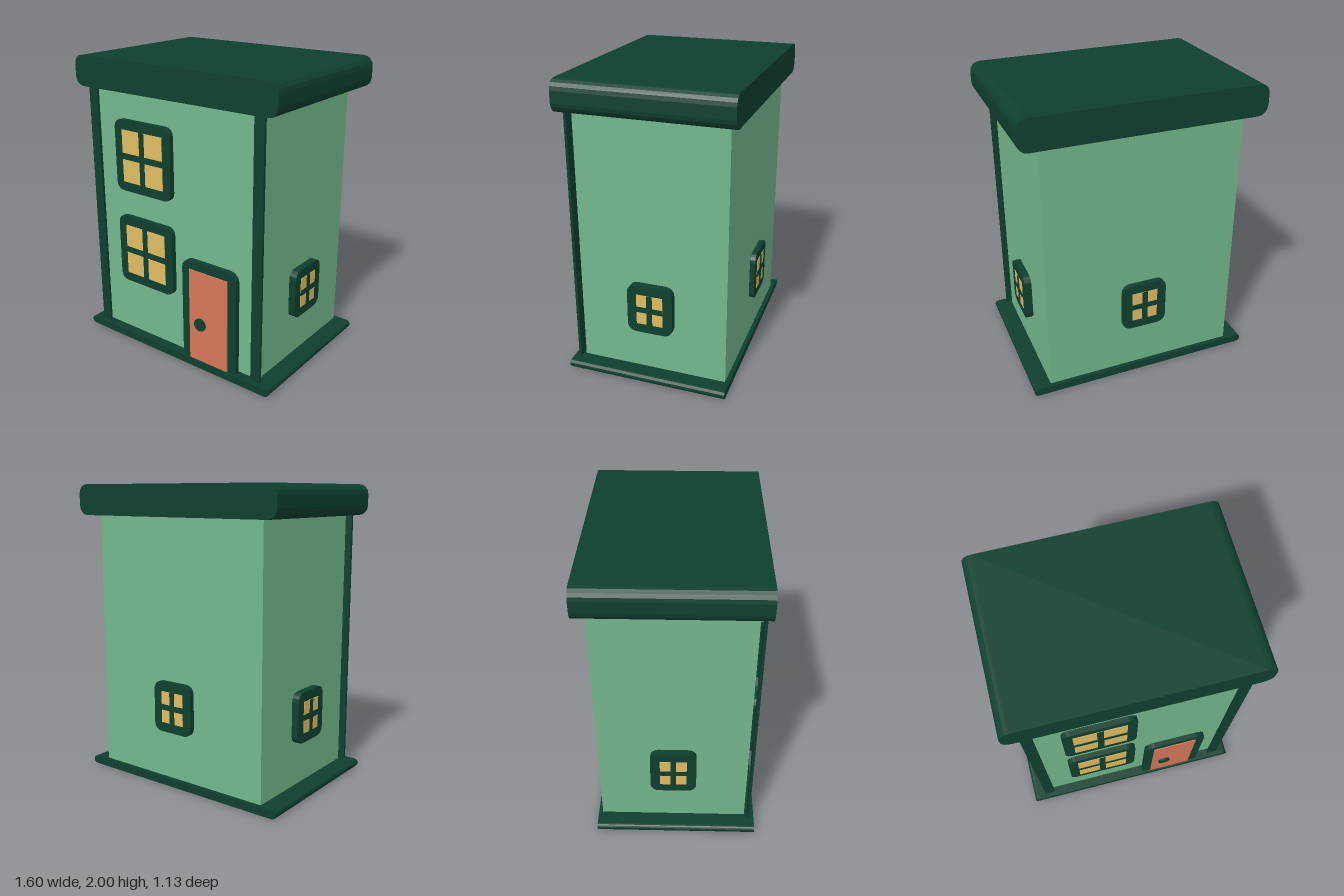
import * as THREE from 'three';

const material = (name, color) => {
  const m = new THREE.MeshStandardMaterial({ color });
  m.name = name;
  return m;
};

export function createModel() {
  const trim = material('dark green trim', 0x0f402f);
  const wall = material('light green wall', 0x74b78d);
  const glass = material('yellow glass', 0xe0bd63);
  const paint = material('terracotta door', 0xd5785b);

  const house = new THREE.Group();
  house.name = 'house';

  function add(parent, name, geometry, mat, x = 0, y = 0, z = 0) {
    const mesh = new THREE.Mesh(geometry, mat);
    mesh.name = name;
    mesh.position.set(x, y, z);
    parent.add(mesh);
    return mesh;
  }

  // Box given by its lower and upper limits
  function addBox(parent, name, mat, [x0, y0, z0], [x1, y1, z1]) {
    const geometry = new THREE.BoxGeometry(x1 - x0, y1 - y0, z1 - z0);
    return add(parent, name, geometry, mat, (x0 + x1) / 2, (y0 + y1) / 2, (z0 + z1) / 2);
  }

  // Slab with rounded corners, pushed out along z; bottom corners may be square
  function slab(x0, y0, x1, y1, r, depth, squareBottom = false) {
    const b = squareBottom ? 0 : r;
    const s = new THREE.Shape();
    s.moveTo(x0 + b, y0);
    s.lineTo(x1 - b, y0);
    if (b) s.absarc(x1 - b, y0 + b, b, -Math.PI / 2, 0);
    s.lineTo(x1, y1 - r);
    s.absarc(x1 - r, y1 - r, r, 0, Math.PI / 2);
    s.lineTo(x0 + r, y1);
    s.absarc(x0 + r, y1 - r, r, Math.PI / 2, Math.PI);
    s.lineTo(x0, y0 + b);
    if (b) s.absarc(x0 + b, y0 + b, b, Math.PI, Math.PI * 1.5);
    return new THREE.ExtrudeGeometry(s, { depth, bevelEnabled: false, curveSegments: 2 });
  }

  // Window facing +z with its back at z = 0: frame, glass plate and crossed bars
  function addWindow(name, width, height, depth, border, bar, position, turn = 0) {
    const group = new THREE.Group();
    group.name = name;
    const w = width / 2, h = height / 2, gw = w - border, gh = h - border, b = bar / 2;
    add(group, name + 'Frame', slab(-w, -h, w, h, 0.055, depth), trim);
    addBox(group, name + 'Glass', glass, [-gw, -gh, depth - 0.004], [gw, gh, depth + 0.003]);
    addBox(group, name + 'UprightBar', trim, [-b, -gh, depth - 0.003], [b, gh, depth + 0.006]);
    addBox(group, name + 'CrossBar', trim, [-gw, -b, depth - 0.003], [gw, b, depth + 0.006]);
    group.position.set(...position);
    group.rotation.y = turn;
    house.add(group);
  }

  // Walls, base and roof
  addBox(house, 'walls', wall, [-0.669, 0, -0.502], [0.663, 1.85, 0.494]);
  add(house, 'base', slab(-0.792, 0.002, 0.783, 0.055, 0.024, 1.09), trim, -0.001, 0, -0.53);
  add(house, 'roof', slab(-0.8, 1.795, 0.8, 2, 0.065, 1.12), trim, 0, 0, -0.565);

  // Corner strips on the front
  for (const side of [-1, 1]) {
    const x = side * 0.667 - 0.003;
    addBox(house, side > 0 ? 'leftCornerStrip' : 'rightCornerStrip', trim,
      [x - 0.036, 0.04, 0.513], [x + 0.036, 1.82, 0.53]);
  }

  // Windows: two large ones on the front, one small one on each other wall
  const large = [0.474, 0.486, 0.035, 0.065, 0.042];
  addWindow('upperWindow', ...large, [-0.235, 1.372, 0.509]);
  addWindow('lowerWindow', ...large, [-0.235, 0.703, 0.509]);
  const small = [0.306, 0.34, 0.035, 0.064, 0.038];
  const sideWindow = [0.306, 0.34, 0.05, 0.064, 0.038];
  addWindow('leftWindow', ...sideWindow, [0.662, 0.52, -0.002], Math.PI / 2);
  addWindow('rightWindow', ...sideWindow, [-0.668, 0.52, -0.002], -Math.PI / 2);
  addWindow('backWindow', ...small, [0, 0.56, -0.517], Math.PI);

  // Door with its surround and round knob
  add(house, 'doorFrame', slab(0.085, 0.04, 0.521, 0.773, 0.065, 0.035, true), trim, 0, 0, 0.509);
  addBox(house, 'door', paint, [0.147, 0.045, 0.543], [0.455, 0.711, 0.551]);
  const knob = new THREE.CylinderGeometry(0.044, 0.044, 0.022, 24).rotateX(Math.PI / 2);
  add(house, 'doorKnob', knob, trim, 0.24, 0.334, 0.554);

  return house;
}
